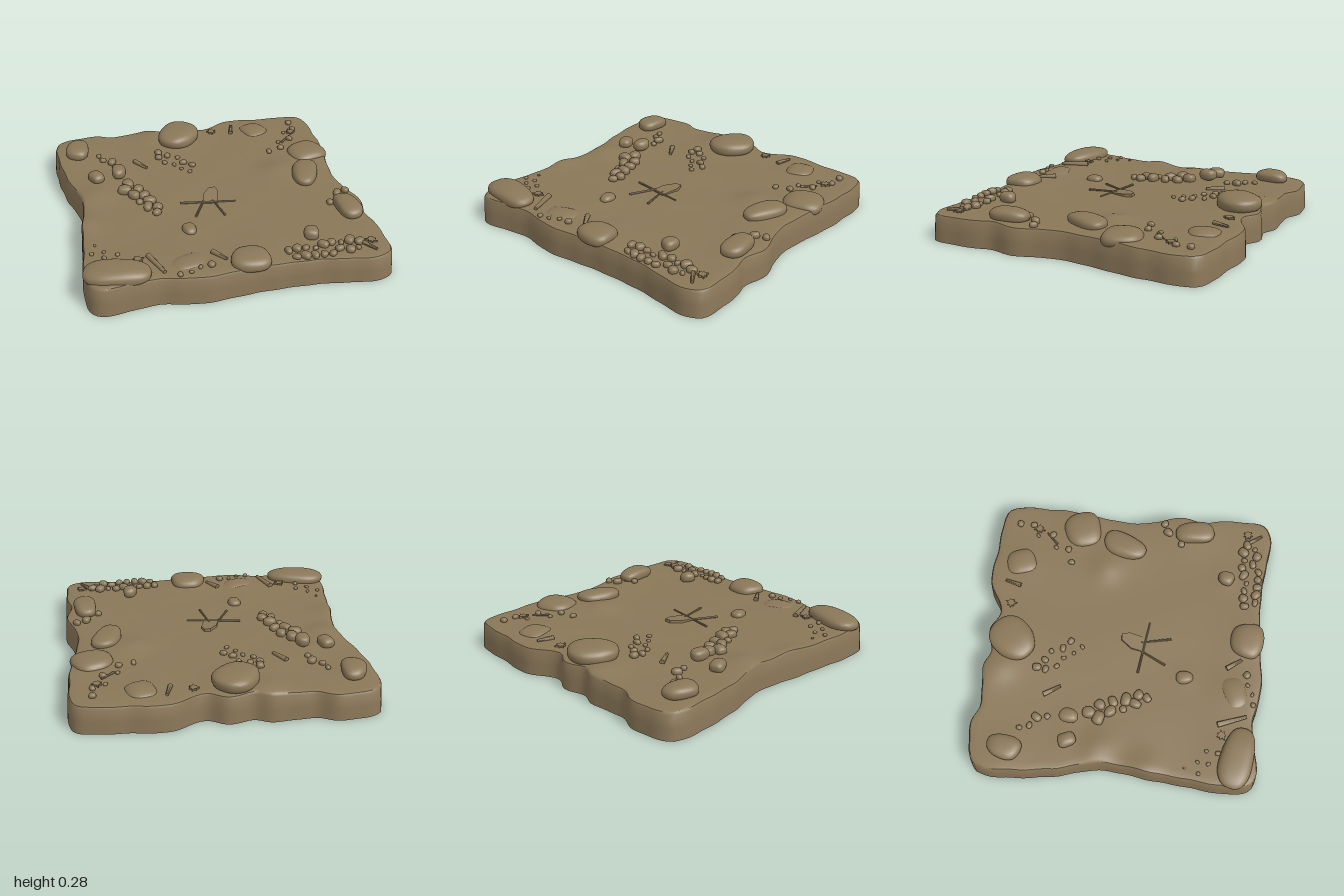
import * as THREE from 'three';
import { mergeVertices, toCreasedNormals } from 'three/addons/utils/BufferGeometryUtils.js';

const earth = new THREE.MeshStandardMaterial({ color: 0x8a7758, side: THREE.DoubleSide });
earth.name = 'earth brown';

// Ground outline (x, z), clockwise from the back left corner
const OUTLINE = [
  [-0.98, -0.92], [-0.8, -0.99], [-0.68, -0.99], [-0.56, -0.94], [-0.28, -0.96], [-0.17, -0.92], [0, -0.95],
  [0.12, -0.89], [0.35, -0.99], [0.55, -0.98], [0.93, -0.92], [0.97, -0.6], [0.94, -0.3], [0.91, 0.05],
  [0.99, 0.35], [0.95, 0.5], [0.98, 0.62], [0.97, 0.94], [0.88, 0.99], [0.4, 0.94], [0, 0.95], [-0.3, 0.97],
  [-0.55, 0.92], [-0.93, 0.95], [-0.98, 0.8], [-0.94, 0.3], [-0.9, -0.12], [-0.97, -0.4], [-1, -0.7],
];

// Boulders: x, z, half width, half depth, turn, top height
const BOULDERS = [
  [-0.84, -0.73, 0.085, 0.12, -0.2, 0.262], [-0.08, -0.76, 0.15, 0.17, -0.7, 0.285],
  [0.52, -0.78, 0.11, 0.11, 0.3, 0.215], [0.8, -0.37, 0.13, 0.15, 0.3, 0.235],
  [0.69, -0.06, 0.095, 0.16, -0.35, 0.25], [0.84, 0.43, 0.09, 0.13, 0.1, 0.262],
  [-0.77, 0.81, 0.2, 0.13, -0.2, 0.262], [-0.33, 0.78, 0.13, 0.09, 0.3, 0.212],
  [0.05, 0.84, 0.14, 0.11, -0.1, 0.25], [-0.59, -0.32, 0.05, 0.07, -0.1, 0.275],
  [-0.75, -0.32, 0.05, 0.065, 0.4, 0.25], [0.5, 0.67, 0.05, 0.06, -0.2, 0.25],
  [-0.245, 0.43, 0.05, 0.06, 0.1, 0.22],
];

// Pebble trails: start x, z, end x, z, sideways spread, count, mean radius
const TRAILS = [
  [-0.7, -0.64, -0.58, -0.48, 0.03, 4, 0.026], [-0.57, -0.18, -0.4, 0.18, 0.05, 10, 0.034],
  [-0.28, -0.56, -0.05, -0.32, 0.07, 10, 0.022], [0.58, -0.4, 0.84, -0.8, 0.05, 7, 0.02],
  [0.76, 0.35, 0.88, 0.2, 0.02, 4, 0.024], [0.31, 0.85, 0.78, 0.83, 0.06, 17, 0.027],
  [-0.9, 0.5, -0.74, 0.67, 0.05, 6, 0.014], [-0.4, 0.91, -0.2, 0.84, 0.02, 4, 0.02],
];

// Sticks and splinters: end x, z, other end x, z, radius
const STICKS = [
  [-0.24, 0.11, 0.13, 0.165, 0.008], [-0.17, 0.29, -0.03, 0.02, 0.008], [0.02, 0.32, -0.02, 0.12, 0.008],
  [-0.45, -0.51, -0.38, -0.4, 0.018], [-0.56, 0.67, -0.49, 0.86, 0.02], [-0.16, 0.71, -0.09, 0.81, 0.018],
  [0.78, 0.79, 0.86, 0.91, 0.016], [0.33, -0.76, 0.36, -0.87, 0.016], [0.67, -0.54, 0.75, -0.62, 0.009],
];

// Withered leaf clusters: x, z
const LEAVES = [[0.78, -0.68], [0.86, 0.81], [-0.63, 0.7], [0.19, -0.81]];

// Free swellings of the ground: x, z; the ground also rises around each boulder
const MOUNDS = [[-0.28, -0.84], [-0.78, -0.12], [-0.9, 0.2], [0.52, -0.18]];

const bump = (x, z, cx, cz, r) => Math.exp(-((x - cx) ** 2 + (z - cz) ** 2) / (r * r));

function groundY(x, z) {
  let y = 0.182 + 0.003 * Math.sin(x * 9 + z * 4) * Math.sin(z * 8);
  for (const [cx, cz, rx, rz] of BOULDERS) y += 0.1 * rx * bump(x, z, cx, cz, rx + rz * 0.5);
  for (const [cx, cz] of MOUNDS) y += 0.025 * bump(x, z, cx, cz, 0.11);
  return y;
}

function seededRandom(seed) {
  return () => {
    seed = (seed * 16807) % 2147483647;
    return seed / 2147483647;
  };
}

// Hollow slab: wall rings going up, then surface rings closing at the centre
function groundGeometry() {
  const N = 220;
  const curve = new THREE.CatmullRomCurve3(OUTLINE.map(([x, z]) => new THREE.Vector3(x, 0, z)), true);
  const rim = curve.getSpacedPoints(N).slice(0, N);
  // Worn ripples along the wall
  rim.forEach((p, j) => p.multiplyScalar(0.995 + 0.005 * Math.sin(j * 0.75) * Math.sin(j * 0.31)));
  const rings = [[1, 0], [0.996, 0.08], [0.99, -0.018], [0.982, -0.004]]; // scale, height
  for (let k = 0; k <= 24; k++) rings.push([0.965 * (1 - k / 24), 0]);
  const pos = [], idx = [];
  rings.forEach(([s, y], i) => rim.forEach((p, j) => {
    const x = p.x * s, z = p.z * s;
    pos.push(x, i < 2 ? y : groundY(x, z) + y, z);
    if (i === rings.length - 1) return;
    const a = i * N + j, b = i * N + (j + 1) % N;
    idx.push(a, a + N, b);
    if (i < rings.length - 2) idx.push(b, a + N, b + N);
  }));
  const g = new THREE.BufferGeometry();
  g.setAttribute('position', new THREE.Float32BufferAttribute(pos, 3));
  g.setIndex(idx);
  return toCreasedNormals(g, 0.75);
}

// Rounded, slightly boxy rock of unit radius, uneven by seed
function rockGeometry(seed, detail) {
  let g = new THREE.IcosahedronGeometry(1, detail);
  g.deleteAttribute('uv');
  g.deleteAttribute('normal');
  g = mergeVertices(g);
  const p = g.attributes.position, v = new THREE.Vector3();
  const box = (t) => Math.sign(t) * Math.abs(t) ** 0.8;
  for (let i = 0; i < p.count; i++) {
    v.fromBufferAttribute(p, i);
    const n = 0.95 + 0.07 * Math.sin(v.x * 2.6 + seed * 1.7) + 0.06 * Math.sin(v.z * 3.1 + v.y + seed * 2.3);
    p.setXYZ(i, box(v.x) * n, box(v.y), box(v.z) * n);
  }
  g.computeVertexNormals();
  return g;
}

// Flat star with uneven points
function leafGeometry() {
  const s = new THREE.Shape();
  for (let i = 0; i < 14; i++) {
    const r = i % 2 ? 0.5 : 0.85 + 0.15 * Math.sin(i * 2), a = i * Math.PI / 7;
    s[i ? 'lineTo' : 'moveTo'](r * Math.cos(a), r * Math.sin(a));
  }
  return new THREE.ExtrudeGeometry(s, { depth: 0.3, bevelEnabled: false }).rotateX(-Math.PI / 2);
}

export function createModel() {
  const model = new THREE.Group();
  model.name = 'rockyGroundTile';
  const add = (name, geo, parent = model) => {
    const m = new THREE.Mesh(geo, earth);
    m.name = name;
    parent.add(m);
    return m;
  };
  add('ground', groundGeometry());

  BOULDERS.forEach(([x, z, rx, rz, turn, top], i) => {
    const ry = 0.03 + 0.2 * Math.min(rx, rz);
    const m = add('boulder', rockGeometry(i, 5));
    m.position.set(x, top - ry, z);
    m.scale.set(rx, ry, rz);
    m.rotation.y = turn;
  });

  // Pebbles strewn along each trail
  const random = seededRandom(77);
  TRAILS.forEach(([x1, z1, x2, z2, spread, count, size], t) => {
    const group = new THREE.Group();
    group.name = 'pebbleTrail';
    model.add(group);
    const length = Math.hypot(x2 - x1, z2 - z1);
    for (let i = 0; i < count; i++) {
      const k = i / (count - 1);
      const side = (i % 2 ? 1 : -1) * spread * (0.3 + 0.7 * random()) / length;
      const x = x1 + (x2 - x1) * k - (z2 - z1) * side;
      const z = z1 + (z2 - z1) * k + (x2 - x1) * side;
      const r = size * (0.65 + 0.7 * random());
      const m = add('pebble', rockGeometry(t * 20 + i, 2), group);
      m.position.set(x, groundY(x, z) + r * 0.4, z);
      m.scale.set(r * 0.9, r * 0.75, r * 1.1);
      m.rotation.y = i * 1.3;
    }
  });

  STICKS.forEach(([x1, z1, x2, z2, r]) => {
    const x = (x1 + x2) / 2, z = (z1 + z2) / 2;
    const geo = new THREE.CylinderGeometry(r * 0.6, r, Math.hypot(x2 - x1, z2 - z1), 7).rotateX(Math.PI / 2);
    const m = add('stick', toCreasedNormals(geo, 1));
    m.position.set(x, groundY(x, z) + 0.008, z);
    m.rotation.y = Math.atan2(x2 - x1, z2 - z1);
  });

  // Flat stone leaning among the crossed sticks
  const outline = [[-0.05, -0.09], [0.05, -0.09], [0.055, 0.04], [0.03, 0.09], [-0.01, 0.08], [-0.05, 0]];
  const slab = new THREE.Shape(outline.map(([x, y]) => new THREE.Vector2(x, y)));
  const stone = add('flatStone', new THREE.ExtrudeGeometry(slab, { depth: 0.02, bevelEnabled: false }).rotateX(-Math.PI / 2));
  stone.position.set(-0.02, 0.178, 0.06);
  stone.rotation.set(0.08, -0.2, 0);

  LEAVES.forEach(([x, z], i) => {
    const m = add('leafCluster', leafGeometry());
    m.position.set(x, groundY(x, z) + 0.004, z);
    m.scale.setScalar(0.042);
    m.rotation.y = i;
  });
  return model;
}
